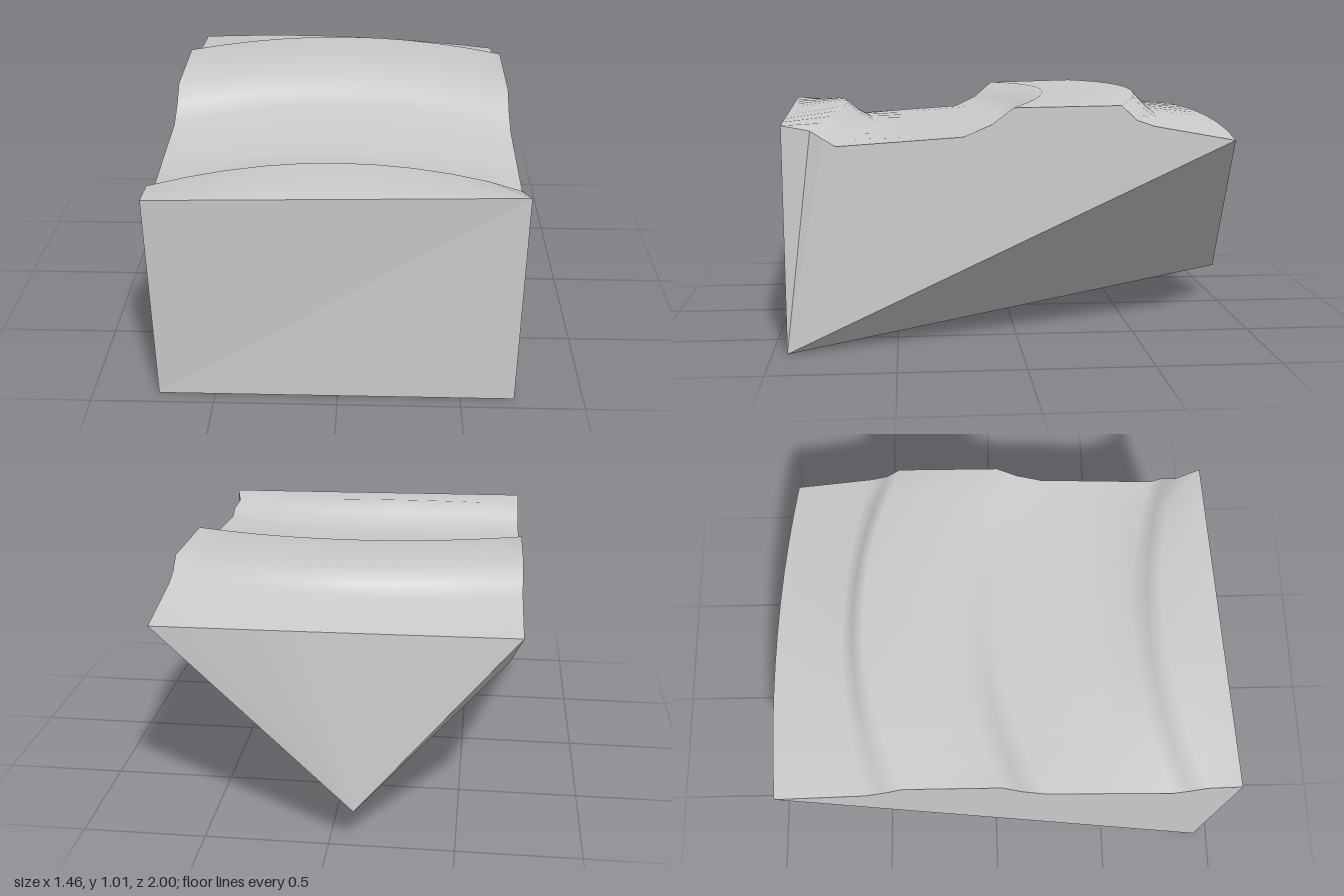
import * as THREE from 'three';

const stone = new THREE.MeshStandardMaterial({ color: 0xcccccc });
stone.name = 'stone grey';

// Rows of the rippled top, front to back:
// z at -x end, z at +x end, bulge of z mid-way, y at -x end, y at +x end, bulge of y
const ROWS = [
  [1.0, 0.94, 0, 0.92, 0.92, 0],
  [0.86, 0.83, -0.125, 0.91, 0.895, 0.047],
  [0.79, 0.78, -0.12, 0.865, 0.865, 0.04],
  [0.73, 0.73, -0.13, 0.835, 0.835, 0.033],
  [0.5, 0.5, -0.06, 0.85, 0.85, 0.005],
  [0.2, 0.23, -0.19, 0.87, 0.868, 0.025],
  [0.1, 0.12, -0.16, 0.92, 0.915, 0.02],
  [0.02, 0.03, -0.18, 0.99, 0.982, 0.018],
  [-0.38, -0.4, -0.16, 1.0, 0.988, 0.016],
  [-0.46, -0.46, -0.14, 0.945, 0.93, 0.02],
  [-0.54, -0.53, -0.11, 0.905, 0.905, 0.013],
  [-0.915, -0.865, -0.04, 0.875, 0.845, 0.015],
];
const COLS = 10;

// One row as a gently bowed line of points
function rowPoints([zL, zR, zB, yL, yR, yB], i) {
  return Array.from({ length: COLS + 1 }, (_, j) => {
    const t = j / COLS, bow = 1 - (2 * t - 1) ** 2;
    let x = THREE.MathUtils.lerp(-0.73, i === 0 ? 0.73 : 0.72, t);
    if (i === 1 && j === COLS) x = 0.7; // small nick beside the front lip
    return new THREE.Vector3(
      x,
      THREE.MathUtils.lerp(yL, yR, t) + yB * bow,
      THREE.MathUtils.lerp(zL, zR, t) + zB * bow
    );
  });
}

// Separate triangles, so every facet is flat
function facets(name, triangles) {
  const geometry = new THREE.BufferGeometry().setFromPoints(triangles.flat());
  geometry.computeVertexNormals();
  const mesh = new THREE.Mesh(geometry, stone);
  mesh.name = name;
  return mesh;
}

export function createModel() {
  const group = new THREE.Group();
  group.name = 'rippledBlock';
  const rows = ROWS.map(rowPoints);
  const last = rows.length - 1;

  // Rippled top with smooth normals
  const index = [];
  const w = COLS + 1;
  for (let i = 0; i < last; i++) {
    for (let j = 0; j < COLS; j++) {
      const a = i * w + j;
      index.push(a, a + 1, a + w, a + 1, a + w + 1, a + w);
    }
  }
  const topGeometry = new THREE.BufferGeometry().setFromPoints(rows.flat());
  topGeometry.setIndex(index);
  topGeometry.computeVertexNormals();
  const top = new THREE.Mesh(topGeometry, stone);
  top.name = 'rippledTop';
  group.add(top);

  // Three low corners of the block
  const footL = new THREE.Vector3(-0.73, 0, 0.94);
  const footR = new THREE.Vector3(0.72, 0, 0.94);
  const heel = new THREE.Vector3(-0.1, 0.15, -1);
  const backRow = rows[last];

  // Front wall
  const [frontL, frontR] = [rows[0][0], rows[0][COLS]];
  group.add(facets('frontWall', [[footL, footR, frontR], [footL, frontR, frontL]]));

  // Side walls fan up from the front feet
  const wallL = [], wallR = [];
  for (let i = 0; i < last; i++) {
    wallL.push([footL, rows[i][0], rows[i + 1][0]]);
    wallR.push([footR, rows[i + 1][COLS], rows[i][COLS]]);
  }
  group.add(facets('rightWall', wallL), facets('leftWall', wallR));

  // Back wall narrows down to the heel
  const back = [];
  for (let j = 0; j < COLS; j++) back.push([heel, backRow[j], backRow[j + 1]]);
  group.add(facets('backWall', back));

  // Slanted undersides
  group.add(facets('underside', [
    [footR, heel, backRow[COLS]],
    [footL, backRow[0], heel],
    [footL, heel, footR],
  ]));
  return group;
}
